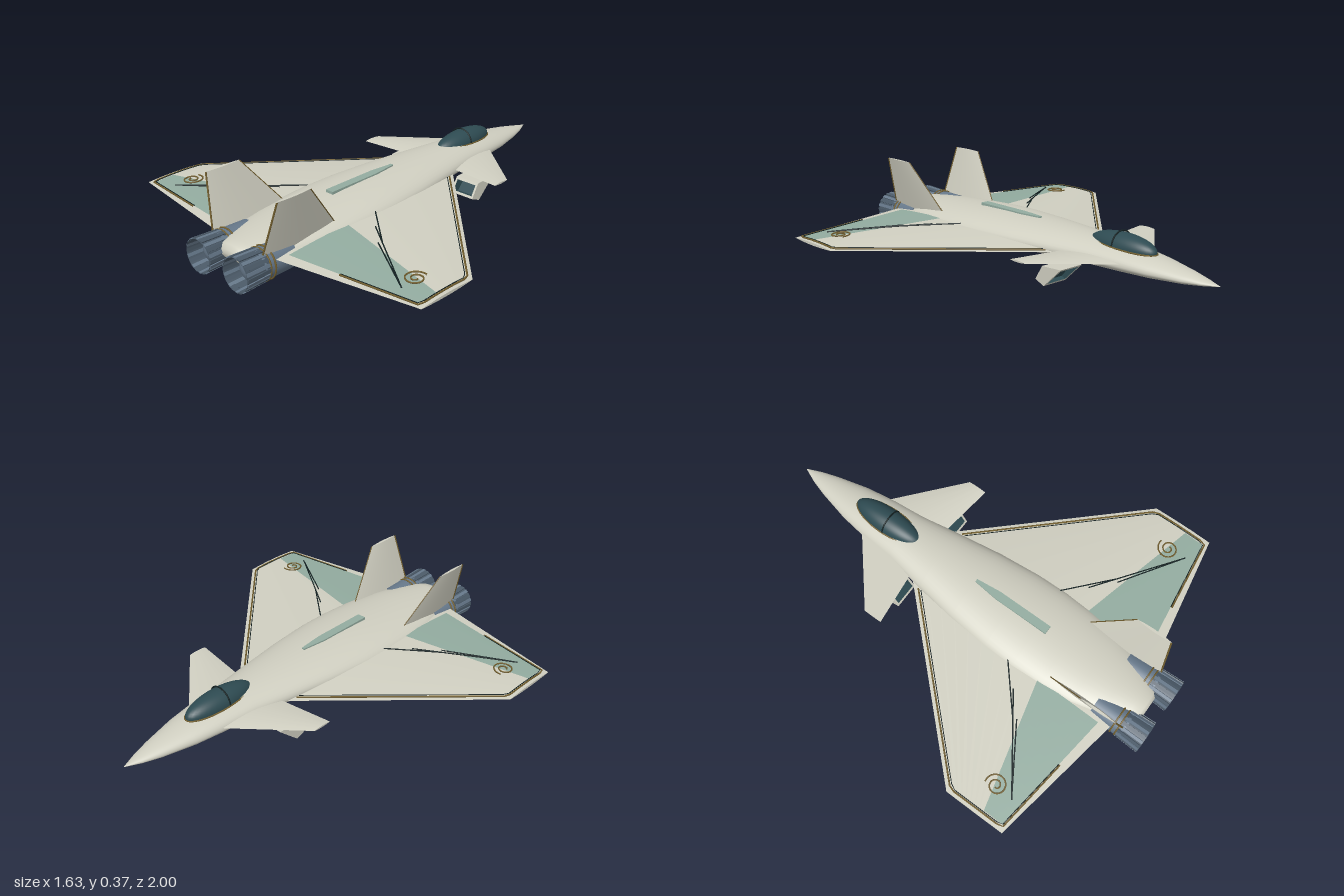
import * as THREE from 'three';
import { toCreasedNormals } from 'three/addons/utils/BufferGeometryUtils.js';

const V = (x, y, z) => new THREE.Vector3(x, y, z);
const lerp = THREE.MathUtils.lerp;
const colour = (name, hex, double) => {
  const m = new THREE.MeshStandardMaterial({ color: hex });
  m.name = name;
  if (double) m.side = THREE.DoubleSide;
  return m;
};

// Skin over closed rings of points, capped at both ends
function loft(rings, crease) {
  const n = rings[0].length, pos = [], idx = [];
  rings.forEach(r => r.forEach(p => pos.push(p.x, p.y, p.z)));
  for (let i = 0; i < rings.length - 1; i++) for (let j = 0; j < n; j++) {
    const a = i * n + j, b = i * n + (j + 1) % n;
    idx.push(a, b, b + n, a, b + n, a + n);
  }
  [0, rings.length - 1].forEach((r, end) => {
    const c = pos.length / 3, m = rings[r].reduce((s, p) => s.add(p), V(0, 0, 0)).divideScalar(n);
    pos.push(m.x, m.y, m.z);
    for (let j = 0; j < n; j++) {
      const a = r * n + j, b = r * n + (j + 1) % n;
      end ? idx.push(c, a, b) : idx.push(c, b, a);
    }
  });
  const g = new THREE.BufferGeometry();
  g.setAttribute('position', new THREE.Float32BufferAttribute(pos, 3));
  g.setIndex(idx);
  g.computeVertexNormals();
  return crease ? toCreasedNormals(g, crease) : g;
}

// Lens-shaped aerofoil ring from leading to trailing edge and back
const CHORD = 14;
function foil(le, te, thick, up) {
  const ring = [];
  for (let k = 0; k < 2 * CHORD; k++) {
    const u = k <= CHORD ? k / CHORD : 2 - k / CHORD;
    const h = thick * 2 * u * (1 - u) * (k <= CHORD ? 1 : -1);
    ring.push(le.clone().lerp(te, u).addScaledVector(up, h));
  }
  return ring;
}

// Mirror copy across x = 0 with the winding turned back
function mirrored(geo) {
  const g = geo.index ? geo.toNonIndexed() : geo.clone();
  g.scale(-1, 1, 1);
  for (const key in g.attributes) {
    const { array: a, itemSize: s } = g.attributes[key];
    for (let t = 0; t < a.length; t += 3 * s) for (let c = 0; c < s; c++)
      [a[t + s + c], a[t + 2 * s + c]] = [a[t + 2 * s + c], a[t + s + c]];
  }
  return g;
}

// Wing measurements, also used to lay markings on the upper skin
const W = { x: [0.1, 0.815], y: [0.113, 0.103], le: [-0.3, 0.445], te: [0.86, 0.735], t: [0.05, 0.012] };
function onWing(x, z, lift) {
  const k = (x - W.x[0]) / (W.x[1] - W.x[0]);
  const at = a => lerp(a[0], a[1], k);
  const u = THREE.MathUtils.clamp((z - at(W.le)) / (at(W.te) - at(W.le)), 0, 1);
  return V(x, at(W.y) + at(W.t) * 2 * u * (1 - u) + lift, z);
}
const tube = (pts, r, n = 24, closed = false) =>
  new THREE.TubeGeometry(new THREE.CatmullRomCurve3(pts, closed), n, r, 5, closed);
function wingLine(corners, r, lift = 0.003) {
  const path = new THREE.CurvePath();
  for (let i = 0; i < corners.length - 1; i++) {
    const [a, b] = [corners[i], corners[i + 1]], pts = [];
    for (let k = 0; k <= 10; k++) pts.push(onWing(lerp(a[0], b[0], k / 10), lerp(a[1], b[1], k / 10), lift));
    path.add(new THREE.CatmullRomCurve3(pts));
  }
  return new THREE.TubeGeometry(path, 16 * (corners.length - 1), r, 5);
}

export function createModel() {
  const root = new THREE.Group();
  const skin = colour('warm grey skin', 0xd0cfc1), skin2 = colour('warm grey panel', 0xd0cfc1, true);
  const sage = colour('sage panel', 0x93aca0, true), glass = colour('dark teal', 0x2e4b52, true);
  const slate = colour('slate metal', 0x66788a), dark = colour('dark slate metal', 0x4a5967, true);
  const gold = colour('bronze trim', 0x74602f), black = colour('black line', 0x142223);
  const add = (name, geo, mat) => {
    const m = new THREE.Mesh(geo, mat);
    m.name = name;
    root.add(m);
  };
  const pair = (name, geo, mat) => {
    add(name + 'Left', geo, mat);
    add(name + 'Right', mirrored(geo), mat);
  };

  // Fuselage: z, half width, top, bottom
  const stations = [
    [-1, 0.001, 0.106, 0.104], [-0.93, 0.031, 0.119, 0.093], [-0.85, 0.056, 0.134, 0.083],
    [-0.7, 0.092, 0.156, 0.074], [-0.55, 0.114, 0.172, 0.07], [-0.4, 0.127, 0.182, 0.067],
    [-0.2, 0.16, 0.188, 0.064], [0, 0.192, 0.19, 0.06], [0.2, 0.214, 0.19, 0.057],
    [0.35, 0.22, 0.186, 0.055], [0.5, 0.215, 0.178, 0.055], [0.65, 0.198, 0.17, 0.055],
    [0.78, 0.16, 0.16, 0.057], [0.88, 0.115, 0.15, 0.062], [0.92, 0.085, 0.142, 0.07], [0.935, 0.05, 0.125, 0.085]];
  add('fuselage', loft(stations.map(([z, w, top, bot]) => {
    const mid = lerp(bot, top, 0.42);
    return Array.from({ length: 40 }, (_, j) => {
      const a = j / 40 * Math.PI * 2, s = Math.sin(a);
      return V(w * Math.cos(a), mid + s * (s > 0 ? top - mid : mid - bot), z);
    });
  })), skin);

  // Wings, canards and fins
  const up = V(0, 1, 0);
  pair('wing', loft([0, 1].map(i => foil(V(W.x[i], W.y[i], W.le[i]), V(W.x[i], W.y[i], W.te[i]), W.t[i], up)), 0.5), skin);
  pair('canard', loft([
    foil(V(0.08, 0.122, -0.6), V(0.08, 0.122, -0.28), 0.026, up),
    foil(V(0.395, 0.13, -0.33), V(0.395, 0.13, -0.24), 0.008, up)], 0.5), skin);
  const finBase = [V(0.147, 0.12, 0.49), V(0.147, 0.12, 0.895)], finTop = [V(0.212, 0.37, 0.69), V(0.212, 0.37, 0.86)];
  pair('tailFin', loft([foil(...finBase, 0.02, V(-1, 0, 0)), foil(...finTop, 0.012, V(-1, 0, 0))], 0.5), skin);
  pair('finRearTrim', tube([finBase[1], finTop[1]], 0.004, 2), gold);
  pair('finFrontTrim', tube([finBase[0], finTop[0]], 0.0025, 2), gold);

  // Rear wing panel draped over the upper skin
  const panel = new THREE.PlaneGeometry(1, 1, 16, 10), pp = panel.attributes.position;
  for (let i = 0; i < pp.count; i++) {
    const k = pp.getX(i) + 0.5, v = 0.5 - pp.getY(i);
    const p = onWing(lerp(0.19, 0.785, k), lerp(lerp(0.475, 0.795, v), lerp(0.62, 0.718, v), k), 0.002);
    pp.setXYZ(i, p.x, p.y, p.z);
  }
  panel.computeVertexNormals();
  pair('wingPanel', panel, sage);

  // Wing markings
  pair('wingEdgeTrim', wingLine([[0.165, -0.205], [0.797, 0.452], [0.797, 0.722], [0.44, 0.768]], 0.004), gold);
  pair('wingEdgeLine', wingLine([[0.165, -0.19], [0.79, 0.458], [0.79, 0.716], [0.44, 0.762]], 0.002, 0.004), black);
  [[[0.2, 0.32], [0.41, 0.5]], [[0.29, 0.415], [0.68, 0.688]], [[0.39, 0.505], [0.66, 0.675]]]
    .forEach((l, i) => pair('wingLine' + i, wingLine(l, 0.003, 0.005), black));
  const spiral = [];
  for (let i = 0; i <= 36; i++) {
    const a = i / 36 * Math.PI * 3.6, r = 0.01 + 0.04 * i / 36;
    spiral.push(onWing(0.67 + r * Math.cos(a), 0.6 + r * Math.sin(a), 0.005));
  }
  pair('wingSpiral', tube(spiral, 0.0035, 72), gold);

  // Spine strip with a pointed front
  const strip = new THREE.Shape([[-0.02, -0.39], [0.02, -0.39], [0.02, -0.12], [0.007, 0], [-0.007, 0], [-0.02, -0.12]]
    .map(p => new THREE.Vector2(...p)));
  add('spineStrip', new THREE.ExtrudeGeometry(strip, { depth: 0.022, bevelEnabled: false })
    .rotateX(-Math.PI / 2).translate(0, 0.174, 0), sage);

  // Canopy, sill and hoop
  add('canopy', new THREE.SphereGeometry(1, 36, 24).scale(0.062, 0.057, 0.178).translate(0, 0.165, -0.5), glass);
  const sill = Array.from({ length: 32 }, (_, i) => {
    const a = i / 32 * Math.PI * 2, z = 0.178 * Math.sin(a);
    return V(0.063 * Math.cos(a), 0.167 + 0.045 * z, z - 0.5);
  });
  add('canopySill', tube(sill, 0.004, 64, true), gold);
  add('canopyHoop', new THREE.TorusGeometry(0.062, 0.0035, 6, 24, Math.PI).translate(0, 0.166, -0.49), black);

  // Engines: pod, rings, nozzle with petals
  const EX = 0.113, EY = 0.083;
  const along = (geo, z) => geo.rotateX(Math.PI / 2).translate(EX, EY, z);
  pair('enginePod', along(new THREE.CylinderGeometry(0.069, 0.066, 0.14, 32), 0.81), slate);
  pair('engineCore', new THREE.SphereGeometry(0.069, 28, 16).scale(1, 1, 0.8).translate(EX, EY, 0.9), slate);
  pair('nozzle', along(new THREE.CylinderGeometry(0.073, 0.067, 0.13, 36, 1, true), 0.935), dark);
  [0.855, 0.878].forEach((z, i) =>
    pair('nozzleRing' + i, new THREE.TorusGeometry(0.07, 0.004, 6, 36).translate(EX, EY, z), gold));
  for (let i = 0; i < 20; i++) {
    const petal = new THREE.BoxGeometry(0.014, 0.005, 0.118);
    petal.rotateX(-0.045).translate(0, 0.072, 0.939).rotateZ(i / 20 * Math.PI * 2).translate(EX, EY, 0);
    pair('nozzlePetal' + i, petal, i % 2 ? dark : slate);
  }

  // Slanted, open intake frames with a dark lining
  const sleeve = inset => {
    const ring = (zt, yt, zb, yb) => {
      const f = inset / (yt - yb), [za, ya, zc, yc] = [lerp(zt, zb, f), yt - inset, lerp(zb, zt, f), yb + inset];
      return [V(0.14 + inset, yc, zc), V(0.264 - inset, yc, zc), V(0.264 - inset, ya, za), V(0.14 + inset, ya, za)];
    };
    return [ring(-0.4, 0.09, -0.3, 0), ring(-0.29, 0.085, -0.25, 0.02)];
  };
  const bands = list => {
    const pos = [];
    list.forEach(([a, b]) => {
      for (let j = 0; j < 4; j++) {
        const k = (j + 1) % 4;
        [a[j], a[k], b[k], a[j], b[k], b[j]].forEach(p => pos.push(p.x, p.y, p.z));
      }
    });
    const g = new THREE.BufferGeometry();
    g.setAttribute('position', new THREE.Float32BufferAttribute(pos, 3));
    g.computeVertexNormals();
    return g;
  };
  const outer = sleeve(0), inner = sleeve(0.01);
  pair('intakeFrame', bands([outer, [inner[0], outer[0]], [outer[1], inner[1]]]), skin2);
  pair('intakeLining', bands([inner]), glass);
  const [p, q, r, s] = inner[0].map((c, i) => c.clone().lerp(inner[1][i], 0.4));
  const screen = new THREE.BufferGeometry().setFromPoints([p, q, r, p, r, s]);
  screen.computeVertexNormals();
  add('intakeScreenLeft', screen, glass);

  return root;
}
